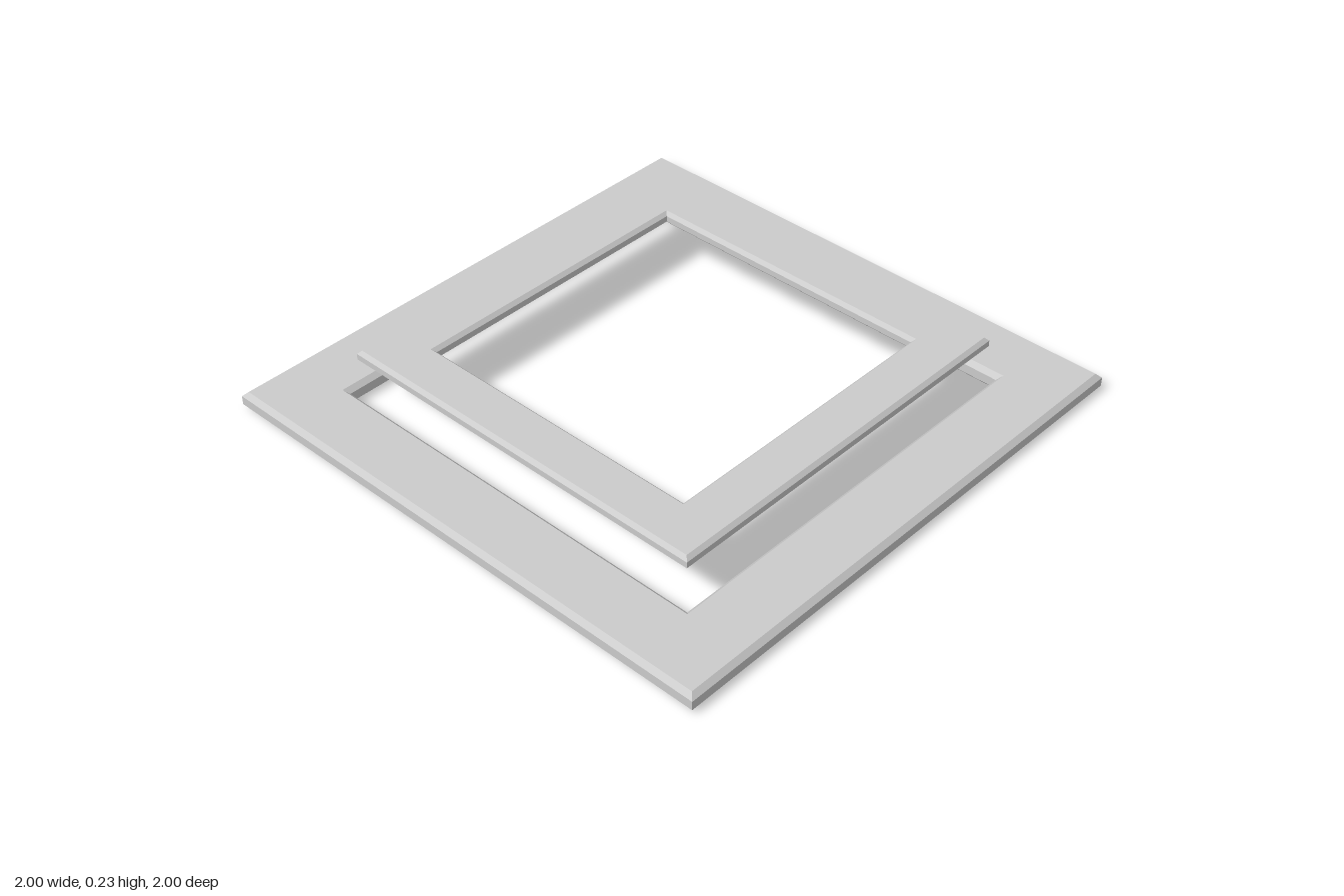
import * as THREE from 'three';

const material = new THREE.MeshStandardMaterial({ color: 0xcccccc, flatShading: true });

// Trace a centred square of the given half width
function square(path, half) {
  path.moveTo(-half, -half);
  path.lineTo(half, -half);
  path.lineTo(half, half);
  path.lineTo(-half, half);
  path.closePath();
  return path;
}

// Flat square frame with chamfered edges, lying between two heights
function frame(name, outer, inner, bottom, top, bevel) {
  const shape = square(new THREE.Shape(), outer - bevel);
  shape.holes.push(square(new THREE.Path(), inner + bevel));
  const geometry = new THREE.ExtrudeGeometry(shape, {
    depth: top - bottom - 2 * bevel,
    bevelEnabled: true,
    bevelSize: bevel,
    bevelThickness: bevel,
    bevelSegments: 1,
  });
  geometry.rotateX(-Math.PI / 2);
  geometry.translate(0, bottom + bevel, 0);
  const mesh = new THREE.Mesh(geometry, material);
  mesh.name = name;
  return mesh;
}

export function createModel() {
  const model = new THREE.Group();
  model.name = 'doubleFrame';
  model.add(
    // Wide frame on the ground
    frame('lowerFrame', 1, 0.75, 0, 0.067, 0.017),
    // Smaller frame floating above its opening
    frame('upperFrame', 0.725, 0.543, 0.178, 0.226, 0.013),
  );
  return model;
}
